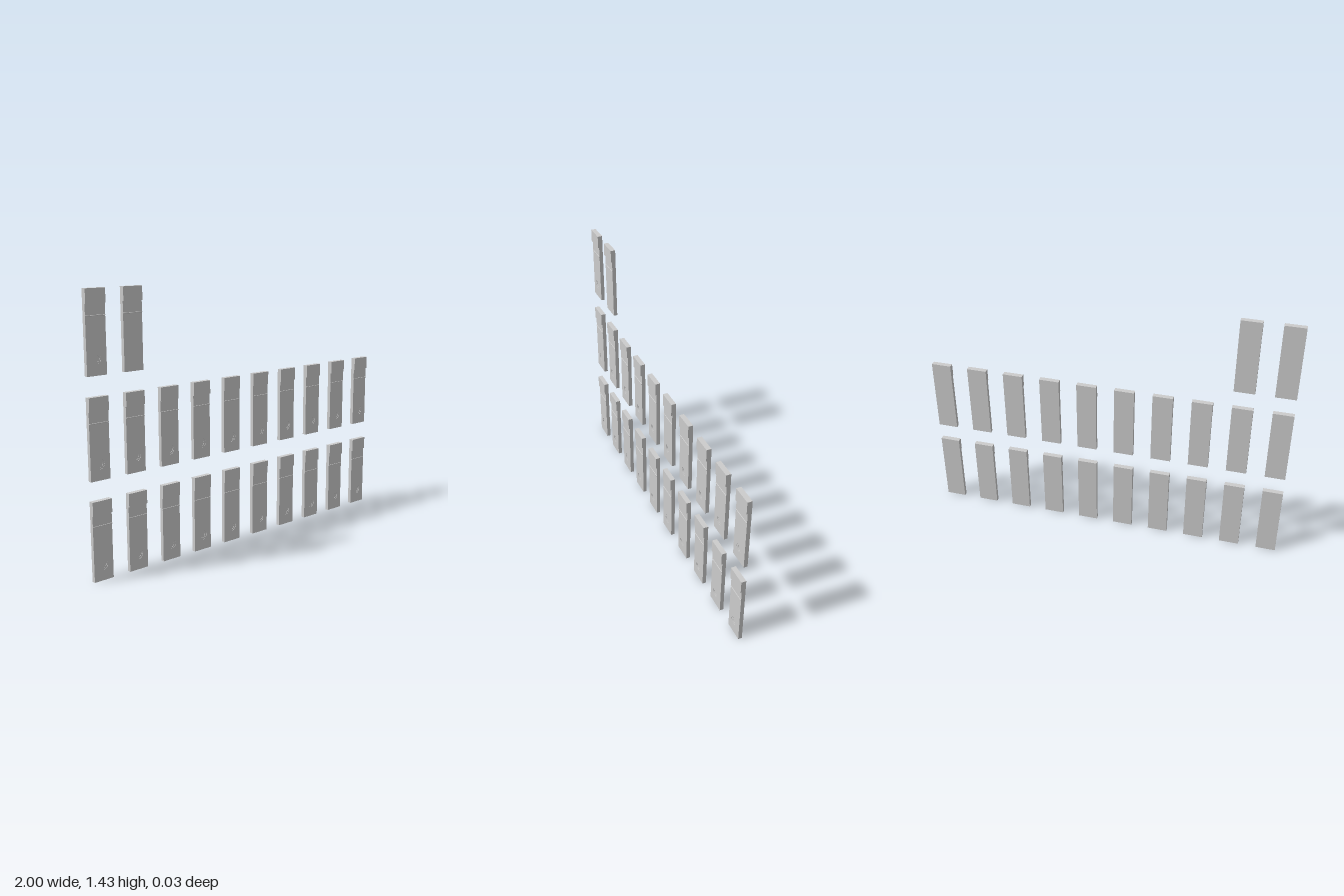
import * as THREE from 'three';

const W = 0.11, H = 0.41, HEAD = 0.07;
const BACK = -0.0135, FACE = 0.0075, FRONT = 0.0135, STEP = 0.002;
const material = new THREE.MeshStandardMaterial({ color: 0xcccccc });

function part(name, geometry, x = 0, y = 0, z = 0) {
  const mesh = new THREE.Mesh(geometry, material);
  mesh.name = name;
  mesh.position.set(x, y, z);
  return mesh;
}

// Flat plate standing on y = 0, with an optional round opening near its foot
function plate(depth, holeRadius = 0) {
  const shape = new THREE.Shape([
    new THREE.Vector2(-W / 2, 0), new THREE.Vector2(W / 2, 0),
    new THREE.Vector2(W / 2, H), new THREE.Vector2(-W / 2, H),
  ]);
  if (holeRadius) {
    const hole = new THREE.Path();
    hole.absarc(0, 0.08, holeRadius, 0, Math.PI * 2, true);
    shape.holes.push(hole);
  }
  return new THREE.ExtrudeGeometry(shape, { depth, bevelEnabled: false, curveSegments: 12 });
}

const core = plate(FACE - BACK - 2 * STEP);
const innerLayer = plate(STEP, 0.016);
const outerLayer = plate(STEP, 0.025);
const solid = plate(FACE - BACK);
const head = new THREE.BoxGeometry(W, HEAD, FRONT - FACE);
// Half-round bead lying across the face
const bead = new THREE.CylinderGeometry(0.0025, 0.0025, W, 8, 1, false, 0, Math.PI).rotateZ(Math.PI / 2)
  .rotateX(Math.PI / 2);
bead.computeBoundingBox();
if (bead.boundingBox.max.z < 0.001) bead.rotateX(Math.PI);

function makeTag(dished) {
  const tag = new THREE.Group();
  tag.name = 'tag';
  if (dished) {
    // Stacked layers leave a stepped round recess in the face
    tag.add(part('core', core, 0, 0, BACK));
    tag.add(part('innerRecessLayer', innerLayer, 0, 0, FACE - 2 * STEP));
    tag.add(part('outerRecessLayer', outerLayer, 0, 0, FACE - STEP));
  } else {
    tag.add(part('plate', solid, 0, 0, BACK));
  }
  tag.add(part('head', head, 0, H - HEAD / 2, (FACE + FRONT) / 2));
  tag.add(part('bead', bead, 0, 0.283, FACE));
  return tag;
}

export function createModel() {
  const model = new THREE.Group();
  model.name = 'tagSet';
  const pitchX = (2 - W) / 9;
  // Two full rows of ten and a last row of two
  for (let i = 0; i < 22; i++) {
    const tag = makeTag(i !== 21);
    tag.position.set(-1 + W / 2 + (i % 10) * pitchX, Math.floor(i / 10) * 0.51, 0);
    model.add(tag);
  }
  return model;
}
